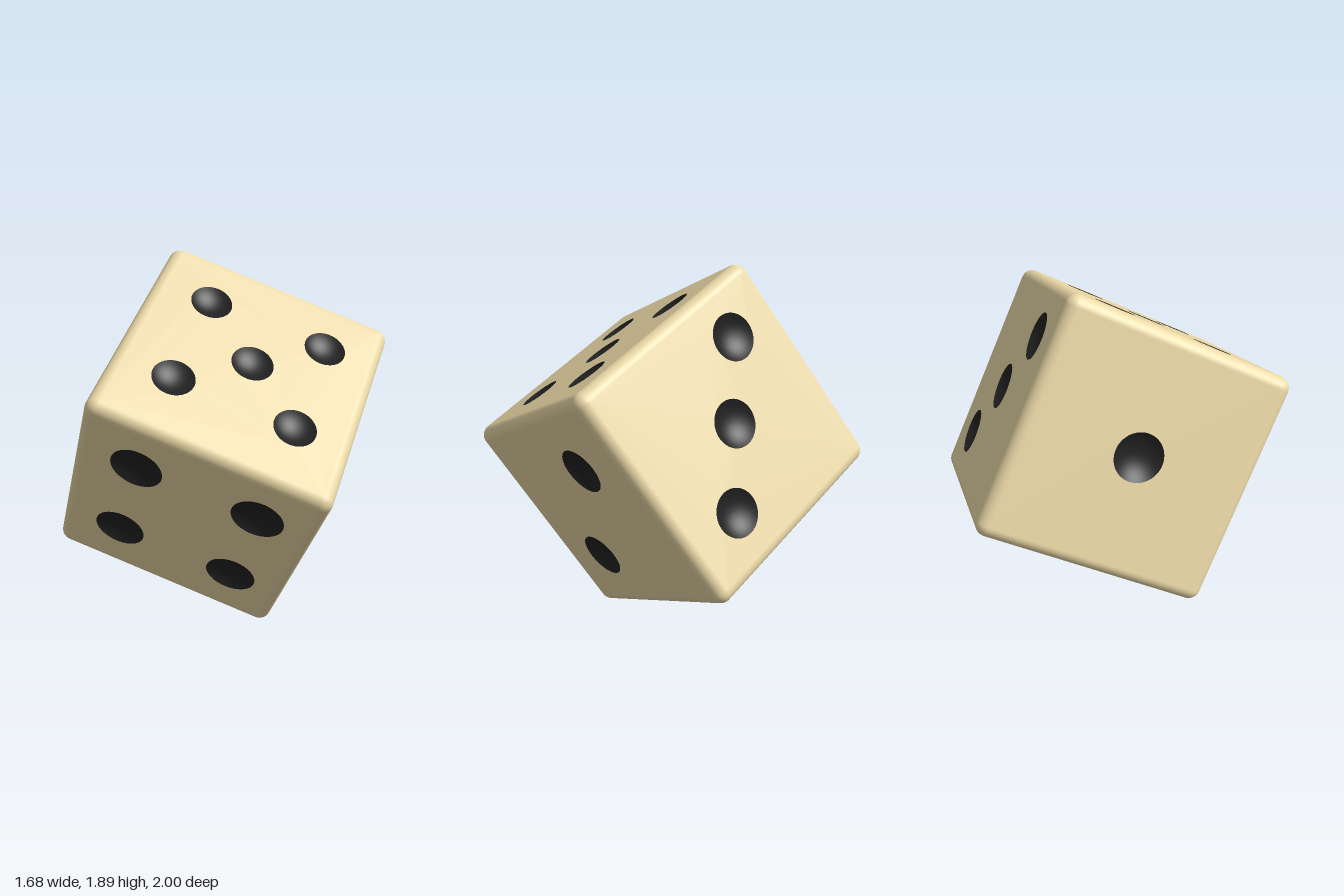
import * as THREE from 'three';
import { mergeGeometries } from 'three/addons/utils/BufferGeometryUtils.js';

const H = 0.604;   // half size of the cube
const R = 0.06;    // edge rounding
const K = H - R;   // half size of each flat face

const X = new THREE.Vector3(1, 0, 0);
const Y = new THREE.Vector3(0, 1, 0);
const Z = new THREE.Vector3(0, 0, 1);

// Each face: in-plane axes a and b (a x b points outwards), dent radius, dent centres along a and b
const FACES = [
  { name: 'one', a: Z, b: Y, r: 0.125, pips: [[0, 0]] },
  { name: 'two', a: Y, b: Z, r: 0.125, pips: [[0.25, -0.215], [-0.26, 0.21]] },
  { name: 'three', a: Y, b: X, r: 0.12, pips: [[0.335, -0.29], [0.013, -0.015], [-0.314, 0.26]] },
  { name: 'four', a: X, b: Y, r: 0.13, pips: [[-0.293, 0.305], [0.32, 0.305], [-0.293, -0.25], [0.32, -0.25]] },
  { name: 'five', a: Z, b: X, r: 0.105, pips: [[-0.298, -0.293], [-0.298, 0.319], [-0.02, 0.0175], [0.253, -0.293], [0.253, 0.319]] },
  { name: 'six', a: X, b: Z, r: 0.13, pips: [-0.375, -0.018, 0.34].flatMap((u) => [[u, -0.233], [u, 0.233]]) },
];

// Flat square with a round hole for every dent
function facePanel({ r, pips }) {
  const shape = new THREE.Shape();
  shape.moveTo(-K, -K).lineTo(K, -K).lineTo(K, K).lineTo(-K, K).closePath();
  for (const [x, y] of pips) {
    shape.holes.push(new THREE.Path().absarc(x, y, r, 0, Math.PI * 2, true));
  }
  return new THREE.ShapeGeometry(shape, 24);
}

// Shallow spherical bowl sinking below z = 0
function dent(r) {
  const depth = r * 0.36;
  const sphere = (r * r + depth * depth) / (2 * depth);
  const sweep = Math.asin(r / sphere);
  const profile = [];
  for (let i = 0; i <= 8; i++) {
    const t = sweep * (1 - i / 8);
    profile.push(new THREE.Vector2(sphere * Math.sin(t), sphere - depth - sphere * Math.cos(t)));
  }
  return new THREE.LatheGeometry(profile, 48).rotateX(Math.PI / 2);
}

// Quarter cylinders along the twelve edges, sphere eighths at the eight corners
function roundedRims() {
  const parts = [];
  for (let i = 0; i < 4; i++) {
    const turn = (i * Math.PI) / 2;
    const edge = () => new THREE.CylinderGeometry(R, R, 2 * K, 8, 1, true, 0, Math.PI / 2)
      .translate(K, 0, K).rotateY(turn);
    const corner = () => new THREE.SphereGeometry(R, 8, 8, Math.PI / 2, Math.PI / 2, 0, Math.PI / 2)
      .translate(K, K, K).rotateY(turn);
    parts.push(edge(), edge().rotateX(Math.PI / 2), edge().rotateZ(Math.PI / 2));
    parts.push(corner(), corner().rotateX(Math.PI));
  }
  return mergeGeometries(parts);
}

export function createModel() {
  const bodyMaterial = new THREE.MeshStandardMaterial({ color: 0xecdaa8 });
  const pipMaterial = new THREE.MeshStandardMaterial({ color: 0x222222, side: THREE.DoubleSide });
  const die = new THREE.Group();
  die.name = 'die';

  const rims = new THREE.Mesh(roundedRims(), bodyMaterial);
  rims.name = 'roundedEdges';
  die.add(rims);

  for (const face of FACES) {
    const side = new THREE.Group();
    side.name = `${face.name}Side`;
    const normal = new THREE.Vector3().crossVectors(face.a, face.b);
    side.quaternion.setFromRotationMatrix(new THREE.Matrix4().makeBasis(face.a, face.b, normal));
    side.position.copy(normal).multiplyScalar(H);

    const panel = new THREE.Mesh(facePanel(face), bodyMaterial);
    panel.name = `${face.name}Face`;
    side.add(panel);

    const bowl = dent(face.r);
    for (const [x, y] of face.pips) {
      const pip = new THREE.Mesh(bowl, pipMaterial);
      pip.name = 'pip';
      pip.position.set(x, y, 0);
      side.add(pip);
    }
    die.add(side);
  }

  // Balance the cube on one corner
  const u = new THREE.Vector3(0.768, -0.351, 0.537).normalize();
  const v = new THREE.Vector3(-0.641, -0.455, 0.619);
  v.addScaledVector(u, -u.dot(v)).normalize();
  const n = new THREE.Vector3().crossVectors(v, u);
  die.quaternion.setFromRotationMatrix(new THREE.Matrix4().makeBasis(u, n, v));
  die.position.y = 0.945;

  const model = new THREE.Group();
  model.name = 'tiltedDie';
  model.add(die);
  return model;
}
